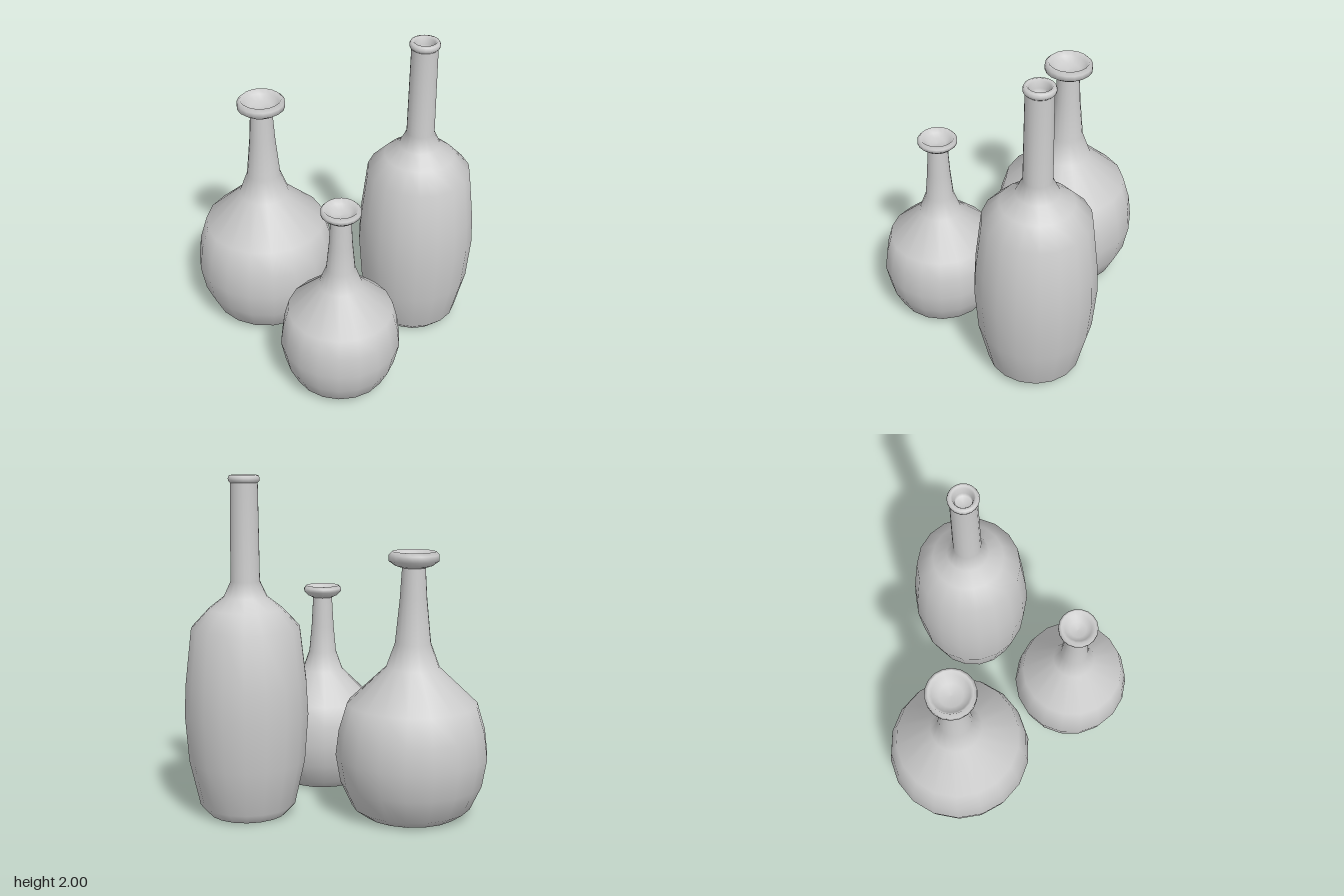
import * as THREE from 'three';

const SIDES = 18;

// Each profile runs [radius, height] from the base up to the rim and into the mouth.
const BOTTLES = [
  {
    name: 'largeRoundBottle', x: -0.447, z: -0.325, turn: Math.PI / 2,
    profile: [[0, 0], [0.285, 0], [0.355, 0.05], [0.423, 0.195], [0.452, 0.36], [0.434, 0.51],
      [0.386, 0.67], [0.159, 0.885], [0.106, 1.03], [0.08, 1.29], [0.069, 1.47]],
    lip: [[0.069, 1.47], [0.11, 1.483], [0.148, 1.51], [0.148, 1.545], [0.127, 1.565],
      [0.11, 1.535], [0.07, 1.505], [0, 1.5]],
  },
  {
    name: 'smallRoundBottle', x: 0.06, z: 0.4, turn: 0,
    profile: [[0, 0], [0.23, 0], [0.288, 0.05], [0.341, 0.165], [0.368, 0.3], [0.352, 0.425],
      [0.32, 0.545], [0.13, 0.73], [0.087, 0.85], [0.071, 1.02], [0.061, 1.2]],
    lip: [[0.061, 1.2], [0.09, 1.213], [0.119, 1.24], [0.119, 1.26], [0.103, 1.277],
      [0.08, 1.25], [0.05, 1.23], [0, 1.225]],
  },
  {
    name: 'tallBottle', x: 0.527, z: -0.265, turn: 0, flatBase: 0.23,
    profile: [[0.23, 0], [0.285, 0.06], [0.346, 0.33], [0.367, 0.61], [0.357, 0.8], [0.32, 1.12],
      [0.217, 1.23], [0.128, 1.3], [0.086, 1.39], [0.08, 1.955]],
    lip: [[0.08, 1.955], [0.09, 1.965], [0.092, 1.98], [0.086, 1.995], [0.07, 2],
      [0.06, 1.985], [0.05, 1.95], [0.048, 1.92], [0, 1.92]],
  },
];

const material = new THREE.MeshStandardMaterial({ color: 0xcccccc, side: THREE.DoubleSide });

function lathe(name, profile, turn) {
  const points = profile.map(([r, y]) => new THREE.Vector2(r, y));
  const mesh = new THREE.Mesh(new THREE.LatheGeometry(points, SIDES, turn), material);
  mesh.name = name;
  return mesh;
}

export function createModel() {
  const group = new THREE.Group();
  group.name = 'bottles';
  for (const { name, x, z, turn, profile, lip, flatBase } of BOTTLES) {
    const bottle = new THREE.Group();
    bottle.name = name;
    bottle.position.set(x, 0, z);
    // Body with neck, then the flared lip with its shallow mouth
    bottle.add(lathe('body', profile, turn), lathe('lip', lip, turn));
    // Sharp-edged flat underside
    if (flatBase) {
      const base = new THREE.Mesh(new THREE.CircleGeometry(flatBase, SIDES, Math.PI / 2), material);
      base.rotation.x = Math.PI / 2;
      base.name = 'base';
      bottle.add(base);
    }
    group.add(bottle);
  }
  return group;
}
